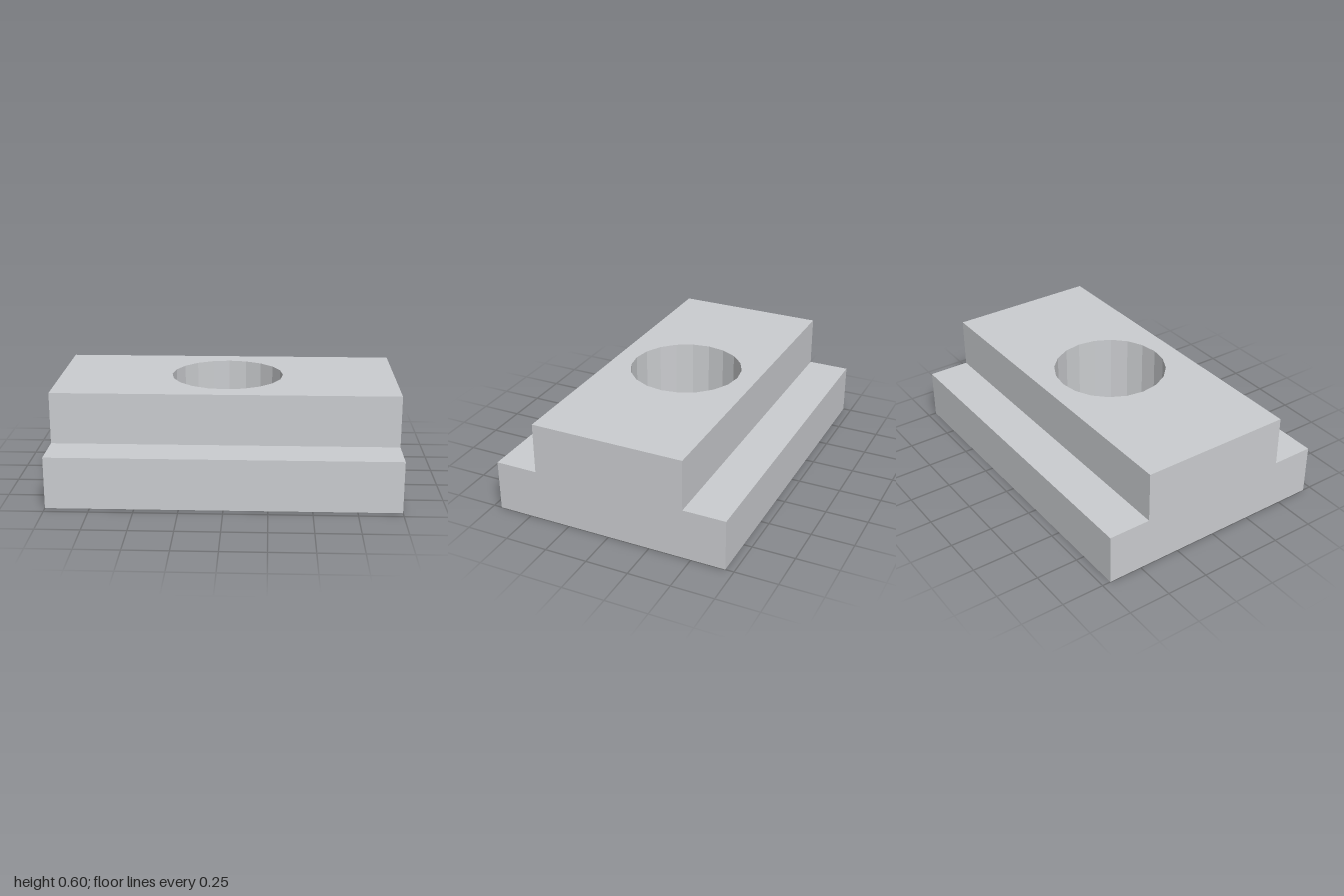
import * as THREE from 'three';

const LENGTH = 2;
const BASE = { half: 0.7, top: 0.3 };
const NECK = { half: 0.45, top: 0.6 };
const BORE = { radius: 0.333, sides: 20 };

export function createModel() {
  const steel = new THREE.MeshStandardMaterial({ color: 0xcbcdd0 });
  steel.name = 'light steel grey';
  const model = new THREE.Group();
  model.name = 'tSlotNut';

  const add = (name, geometry) => {
    const mesh = new THREE.Mesh(geometry, steel);
    mesh.name = name;
    model.add(mesh);
  };

  // Rectangle pierced by the bore, facing +z before it is laid flat
  const piercedFace = (half) => {
    const x = LENGTH / 2;
    const shape = new THREE.Shape([[-x, -half], [x, -half], [x, half], [-x, half]]
      .map(([px, py]) => new THREE.Vector2(px, py)));
    const hole = Array.from({ length: BORE.sides }, (_, i) => {
      const a = -i / BORE.sides * Math.PI * 2;
      return new THREE.Vector2(Math.cos(a), Math.sin(a)).multiplyScalar(BORE.radius);
    });
    shape.holes.push(new THREE.Path(hole));
    return new THREE.ShapeGeometry(shape);
  };
  add('topFace', piercedFace(NECK.half).rotateX(-Math.PI / 2).translate(0, NECK.top, 0));
  add('bottomFace', piercedFace(BASE.half).rotateX(Math.PI / 2));

  // Stepped sides, alike at front and back
  const ledge = BASE.half - NECK.half;
  for (const [side, turn] of [['front', 0], ['back', Math.PI]]) {
    add(side + 'BaseWall', new THREE.PlaneGeometry(LENGTH, BASE.top)
      .translate(0, BASE.top / 2, BASE.half).rotateY(turn));
    add(side + 'Ledge', new THREE.PlaneGeometry(LENGTH, ledge).rotateX(-Math.PI / 2)
      .translate(0, BASE.top, NECK.half + ledge / 2).rotateY(turn));
    add(side + 'NeckWall', new THREE.PlaneGeometry(LENGTH, NECK.top - BASE.top)
      .translate(0, (BASE.top + NECK.top) / 2, NECK.half).rotateY(turn));
  }

  // T-shaped ends
  const profile = new THREE.Shape([
    [-BASE.half, 0], [BASE.half, 0], [BASE.half, BASE.top], [NECK.half, BASE.top],
    [NECK.half, NECK.top], [-NECK.half, NECK.top], [-NECK.half, BASE.top], [-BASE.half, BASE.top],
  ].map(([x, y]) => new THREE.Vector2(x, y)));
  for (const [side, sign] of [['left', 1], ['right', -1]]) {
    add(side + 'End', new THREE.ShapeGeometry(profile)
      .translate(0, 0, LENGTH / 2).rotateY(sign * Math.PI / 2));
  }

  // Faceted through bore, mirrored so its wall faces inward
  const bore = new THREE.CylinderGeometry(BORE.radius, BORE.radius, NECK.top, BORE.sides, 1, true)
    .scale(-1, 1, 1).translate(0, NECK.top / 2, 0).toNonIndexed();
  bore.computeVertexNormals();
  add('boreWall', bore);

  return model;
}
